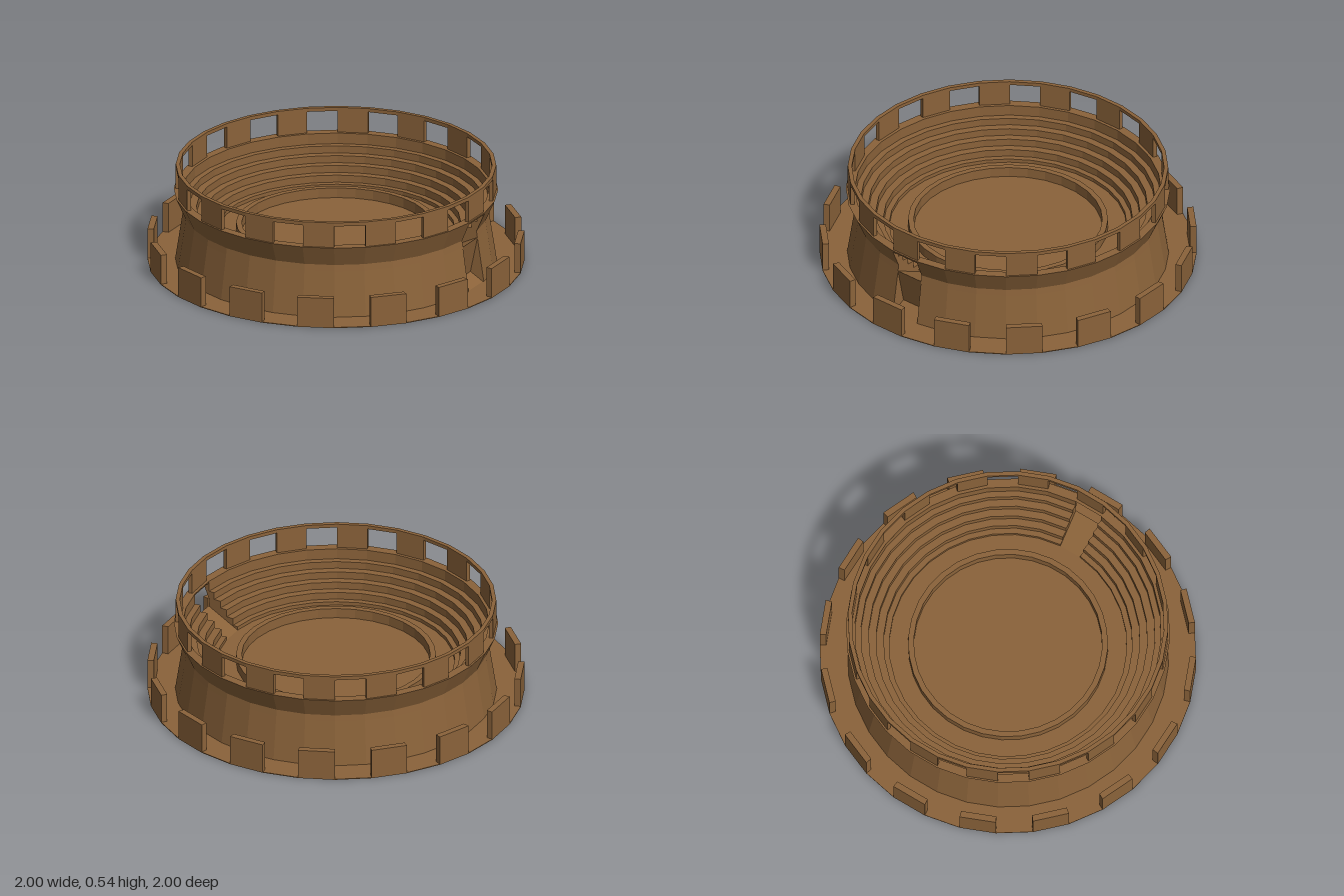
import * as THREE from 'three';
import { mergeGeometries } from 'three/addons/utils/BufferGeometryUtils.js';

const SIDES = 32;
const STEP = (Math.PI * 2) / SIDES;

// Sweeps a closed counterclockwise (radius, height) profile over some of the 32 sides
function sector(profile, start, count) {
  const points = profile.map(([r, y]) => new THREE.Vector2(r, y));
  const parts = [new THREE.LatheGeometry([...points, points[0]], count, start * STEP, count * STEP)];
  if (count < SIDES) {
    for (const side of [start, start + count]) {
      const cap = new THREE.ShapeGeometry(new THREE.Shape(points));
      if (side !== start) cap.setIndex(Array.from(cap.index.array).reverse());
      cap.rotateY(side * STEP - Math.PI / 2);
      parts.push(cap);
    }
  }
  const geometry = mergeGeometries(parts).toNonIndexed();
  geometry.computeVertexNormals();
  return geometry;
}

// Rectangular ring section
const band = (inner, outer, low, high) => [[inner, low], [outer, low], [outer, high], [inner, high]];

export function createModel() {
  const model = new THREE.Group();
  const stone = new THREE.MeshStandardMaterial({ color: 0x8b633a, flatShading: true });
  stone.name = 'brown stone';

  const add = (name, geometry, parent = model) => {
    const mesh = new THREE.Mesh(geometry, stone);
    mesh.name = name;
    parent.add(mesh);
    return mesh;
  };

  // Ground plate
  const plate = new THREE.CylinderGeometry(1, 1, 0.004, SIDES);
  plate.translate(0, 0.002, 0);
  add('groundPlate', plate);

  // Outer wall with stepped seating, open at one side for the entrance
  const gate = 2;
  const bowl = [[0.63, 0.002], [0.853, 0.002], [0.815, 0.25], [0.81, 0.285], [0.86, 0.4], [0.812, 0.4]];
  const tiers = [0.78, 0.74, 0.7, 0.66, 0.63];
  let outer = 0.812;
  tiers.forEach((inner, i) => {
    const y = 0.34 - i * 0.04;
    bowl.push([outer, y], [inner, y]);
    outer = inner;
  });
  add('seatingBowl', sector(bowl, gate + 1, SIDES - 1));

  // Entrance: lintel above, ramp down to the walkway behind a recessed sill
  add('entranceLintel', sector([[0.818, 0.385], [0.853, 0.385], [0.86, 0.4], [0.812, 0.4]], gate, 1));
  add('entranceRamp', sector(
    [[0.63, 0.002], [0.85, 0.002], [0.775, 0.05], [0.816, 0.25], [0.63, 0.16]], gate, 1));

  // Arena floor, low inner barrier and walkway
  const floor = new THREE.CircleGeometry(0.505, SIDES);
  floor.rotateX(-Math.PI / 2);
  floor.translate(0, 0.155, 0);
  add('arenaFloor', floor);
  add('walkway', sector(band(0.52, 0.632, 0.002, 0.16), 0, SIDES));
  add('innerBarrier', sector(band(0.5, 0.53, 0.1, 0.21), 0, SIDES));

  // Upper arcade: alternating piers carrying a thin ring
  const arcade = new THREE.Group();
  arcade.name = 'upperArcade';
  model.add(arcade);
  add('topRing', sector(band(0.828, 0.85, 0.52, 0.54), 0, SIDES), arcade);

  // Ground fence: alternating upright slabs
  const fence = new THREE.Group();
  fence.name = 'outerFence';
  model.add(fence);

  for (let side = 0; side < SIDES; side += 2) {
    add('arcadePier', sector(band(0.828, 0.85, 0.4, 0.52), side, 1), arcade);
    add('fenceSlab', sector(band(0.966, 1, 0.002, 0.168), side, 1), fence);
  }
  return model;
}
